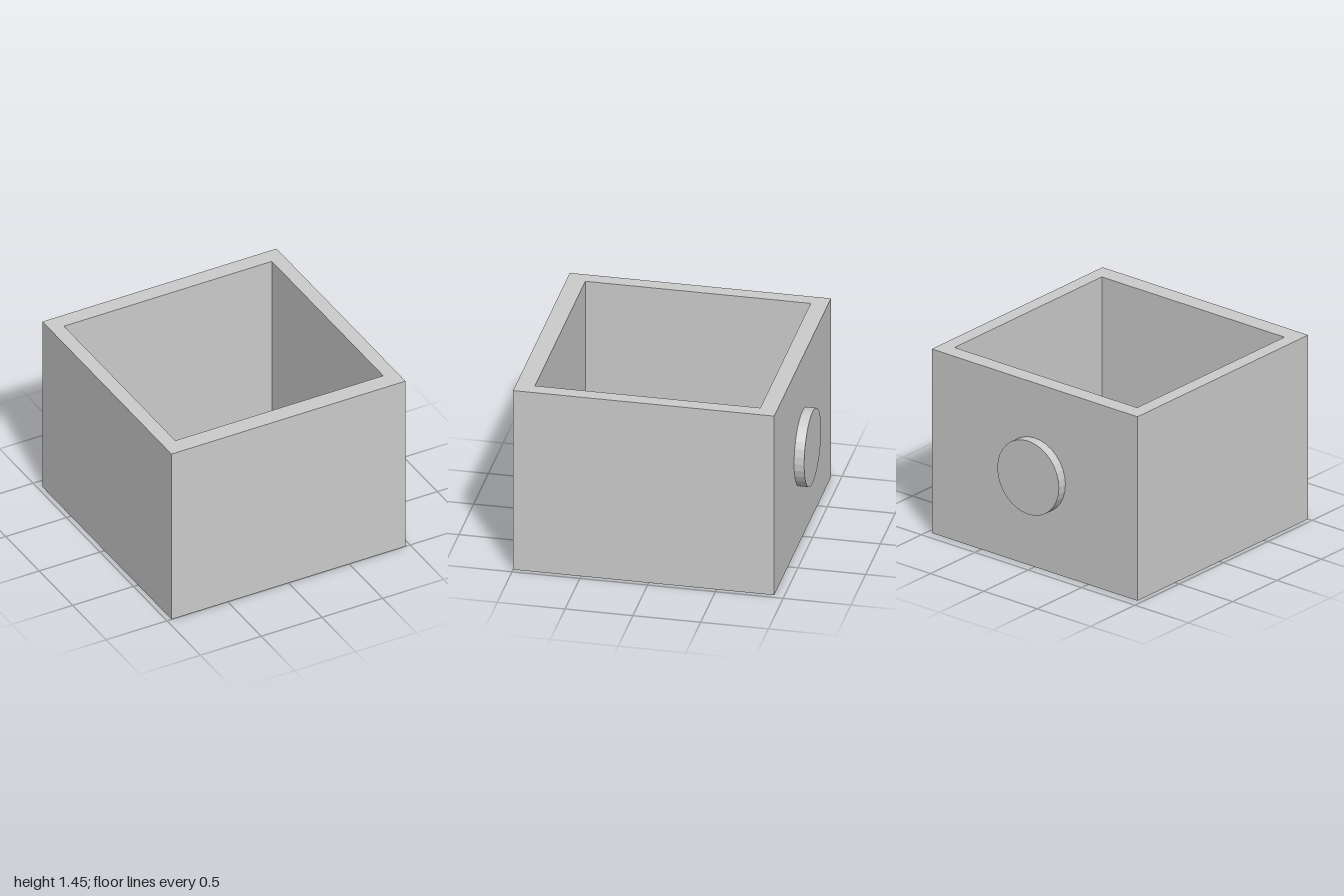
import * as THREE from 'three';

const HEIGHT = 1.445, FLOOR = 0.13;
const OUTER = { x: 0.963, back: -0.926, front: 1 };
const INNER = { x: 0.855, back: -0.8, front: 0.862 };

// Rectangle in plan; shape y is -z so it can be extruded upwards
function outline(Type, { x, back, front }) {
  return new Type([[-x, -front], [x, -front], [x, -back], [-x, -back]]
    .map(([px, py]) => new THREE.Vector2(px, py)));
}

export function createModel() {
  const group = new THREE.Group();
  group.name = 'openBox';
  const material = new THREE.MeshStandardMaterial({ color: 0xcccccc, flatShading: true });

  function add(name, geometry) {
    const mesh = new THREE.Mesh(geometry, material);
    mesh.name = name;
    group.add(mesh);
    return mesh;
  }

  // Four walls: a rectangular frame, full height
  const frame = outline(THREE.Shape, OUTER);
  frame.holes.push(outline(THREE.Path, INNER));
  add('walls', new THREE.ExtrudeGeometry(frame, { depth: HEIGHT, bevelEnabled: false })
    .rotateX(-Math.PI / 2));

  // Floor slab closing the cavity
  add('floor', new THREE.ExtrudeGeometry(outline(THREE.Shape, INNER), { depth: FLOOR, bevelEnabled: false })
    .rotateX(-Math.PI / 2));

  // Round boss on the back wall
  const boss = add('backBoss', new THREE.CylinderGeometry(0.288, 0.288, 0.094, 32).rotateX(Math.PI / 2));
  boss.position.set(0, 0.725, -0.953);

  return group;
}
